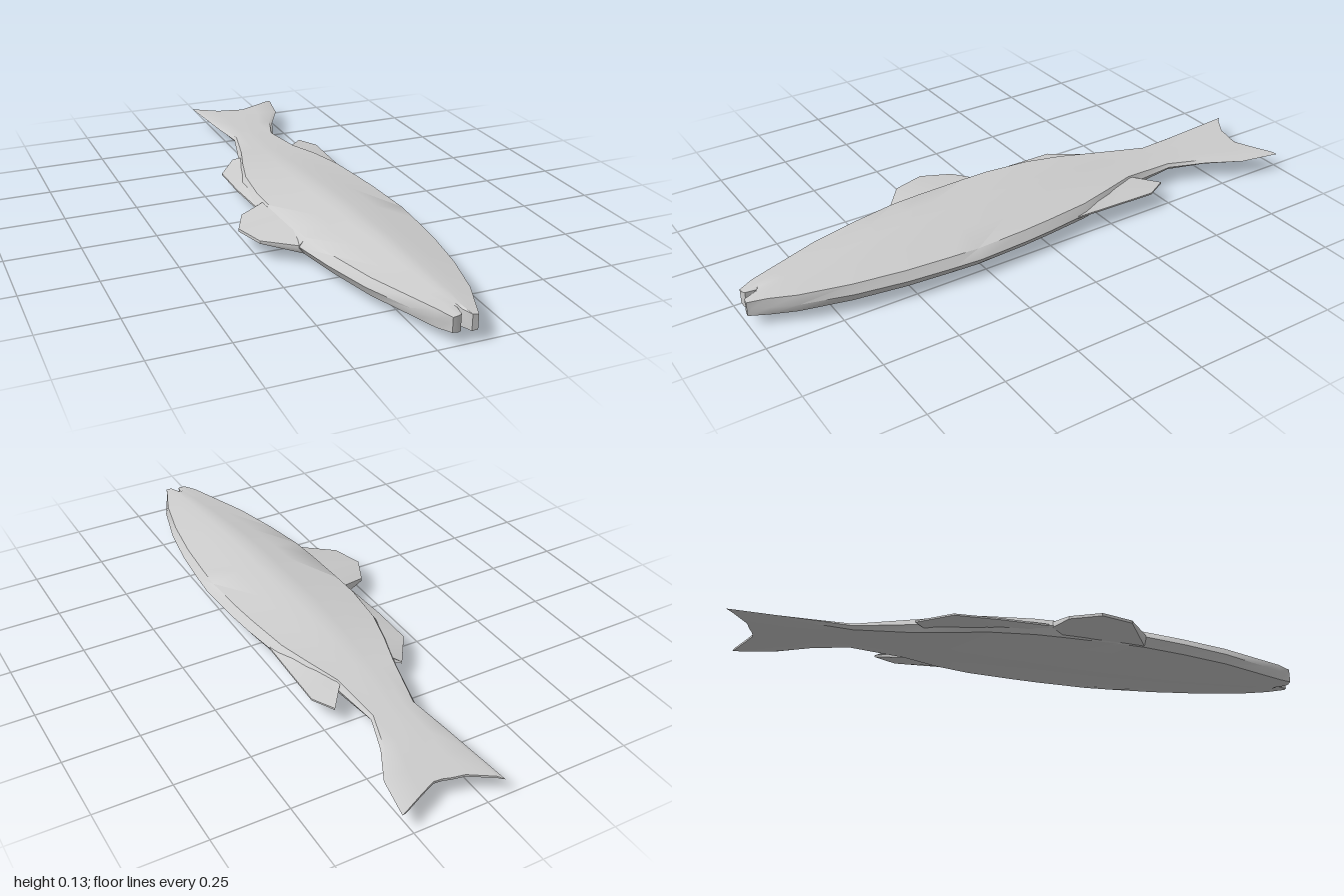
import * as THREE from 'three';
import { toCreasedNormals } from 'three/addons/utils/BufferGeometryUtils.js';

const MID_Y = 0.063;
// Column positions across the body, from one rim to the other
const COLS = [0, 0.05, 0.27, 0.4, 0.47, 0.56, 0.73, 0.95, 1];

// Body stations, snout to tail: z, left rim x, right rim x, half thickness, z shift per column
const STATIONS = [
  [1.0, 0.045, 0.128, 0.028, [-0.025, -0.01, -0.01, -0.015, -0.05, -0.04, -0.002, 0, -0.015]],
  [0.94, 0.02, 0.152, 0.037],
  [0.86, -0.012, 0.187, 0.042],
  [0.7, -0.075, 0.23, 0.053],
  [0.53, -0.12, 0.258, 0.062],
  [0.38, -0.15, 0.271, 0.063],
  [0.28, -0.158, 0.277, 0.063],
  [0.1, -0.165, 0.267, 0.059],
  [0, -0.166, 0.257, 0.056],
  [-0.16, -0.148, 0.235, 0.048],
  [-0.28, -0.112, 0.2, 0.038],
  [-0.4, -0.07, 0.157, 0.028],
  [-0.59, -0.018, 0.14, 0.013],
  [-0.72, -0.032, 0.187, 0.009],
  [-0.84, -0.042, 0.25, 0.006],
  [-1.0, -0.055, 0.277, 0.004, [0, 0.02, 0.068, 0.077, 0.085, 0.088, 0.062, 0.026, 0.02]],
];

function meshGeometry(positions, index, crease) {
  const g = new THREE.BufferGeometry();
  g.setAttribute('position', new THREE.Float32BufferAttribute(positions, 3));
  g.setIndex(index);
  return toCreasedNormals(g, crease);
}

// Loft: each ring runs over the upper flank and back under the lower one
function bodyGeometry() {
  const last = COLS.length - 1, n = last * 2;
  const pos = [], idx = [];
  for (const [z, lx, rx, half, shift] of STATIONS) {
    const rim = Math.min(0.029, half * 0.85);
    for (let k = 0; k < n; k++) {
      const j = k <= last ? k : n - k;
      const t = COLS[j];
      const rise = (0.5 - Math.abs(t - 0.5)) / 0.45 - 0.05 / 0.45;
      const h = j === 0 || j === last ? 0 : rim + (half - rim) * Math.min(1, rise * 1.06);
      pos.push(lx + (rx - lx) * t, MID_Y + (k <= last ? h : -h), z + (shift ? shift[j] : 0));
    }
  }
  for (let i = 0; i < STATIONS.length - 1; i++) {
    for (let k = 0; k < n; k++) {
      const a = i * n + k, b = i * n + (k + 1) % n;
      idx.push(a, b, a + n, b, b + n, a + n);
    }
  }
  // Mouth face and trailing edge of the tail
  const end = (STATIONS.length - 1) * n;
  for (let j = 0; j < last; j++) {
    const t0 = j, t1 = j + 1, b0 = (n - j) % n, b1 = n - j - 1;
    idx.push(t0, b0, b1, t0, b1, t1);
    idx.push(end + t0, end + b1, end + b0, end + t0, end + t1, end + b1);
  }
  return meshGeometry(pos, idx, 0.75);
}

// Fin: rays of [root x, root z, tip x, tip z], tapering from root to tip
function finGeometry(rays, rootHalf, tipHalf) {
  const pos = [], idx = [];
  for (const [rx, rz, tx, tz] of rays) {
    pos.push(rx, MID_Y + rootHalf, rz, tx, MID_Y + tipHalf, tz);
    pos.push(tx, MID_Y - tipHalf, tz, rx, MID_Y - rootHalf, rz);
  }
  const flip = rays[0][2] > rays[0][0];
  const tri = (a, b, c) => (flip ? idx.push(a, c, b) : idx.push(a, b, c));
  for (let i = 0; i < rays.length - 1; i++) {
    for (let k = 0; k < 3; k++) {
      const a = i * 4 + k, b = a + 1;
      tri(a, a + 4, b);
      tri(b, a + 4, b + 4);
    }
  }
  const e = (rays.length - 1) * 4;
  tri(0, 1, 2); tri(0, 2, 3);
  tri(e, e + 2, e + 1); tri(e, e + 3, e + 2);
  return meshGeometry(pos, idx, 0.6);
}

export function createModel() {
  const group = new THREE.Group();
  group.name = 'fish';
  const skin = new THREE.MeshStandardMaterial({ color: 0xcccccc });
  skin.name = 'light grey skin';
  skin.side = THREE.DoubleSide;

  const add = (name, geometry) => {
    const mesh = new THREE.Mesh(geometry, skin);
    mesh.name = name;
    group.add(mesh);
  };

  add('bodyAndTail', bodyGeometry());
  add('frontFin', finGeometry([
    [-0.13, 0.38, -0.15, 0.38],
    [-0.13, 0.3, -0.25, 0.3],
    [-0.13, 0.19, -0.281, 0.19],
    [-0.13, 0.09, -0.235, 0.09],
    [-0.13, 0.05, -0.165, 0.055],
  ], 0.026, 0.005));
  add('rearFin', finGeometry([
    [-0.14, 0.04, -0.167, 0.04],
    [-0.12, -0.1, -0.176, -0.12],
    [-0.09, -0.2, -0.175, -0.28],
    [-0.06, -0.33, -0.095, -0.395],
    [-0.055, -0.36, -0.08, -0.365],
  ], 0.022, 0.003));
  add('oppositeRearFin', finGeometry([
    [0.21, -0.1, 0.24, -0.12],
    [0.19, -0.2, 0.245, -0.26],
    [0.165, -0.3, 0.25, -0.42],
    [0.145, -0.35, 0.21, -0.495],
    [0.135, -0.4, 0.168, -0.405],
  ], 0.02, 0.003));
  return group;
}
